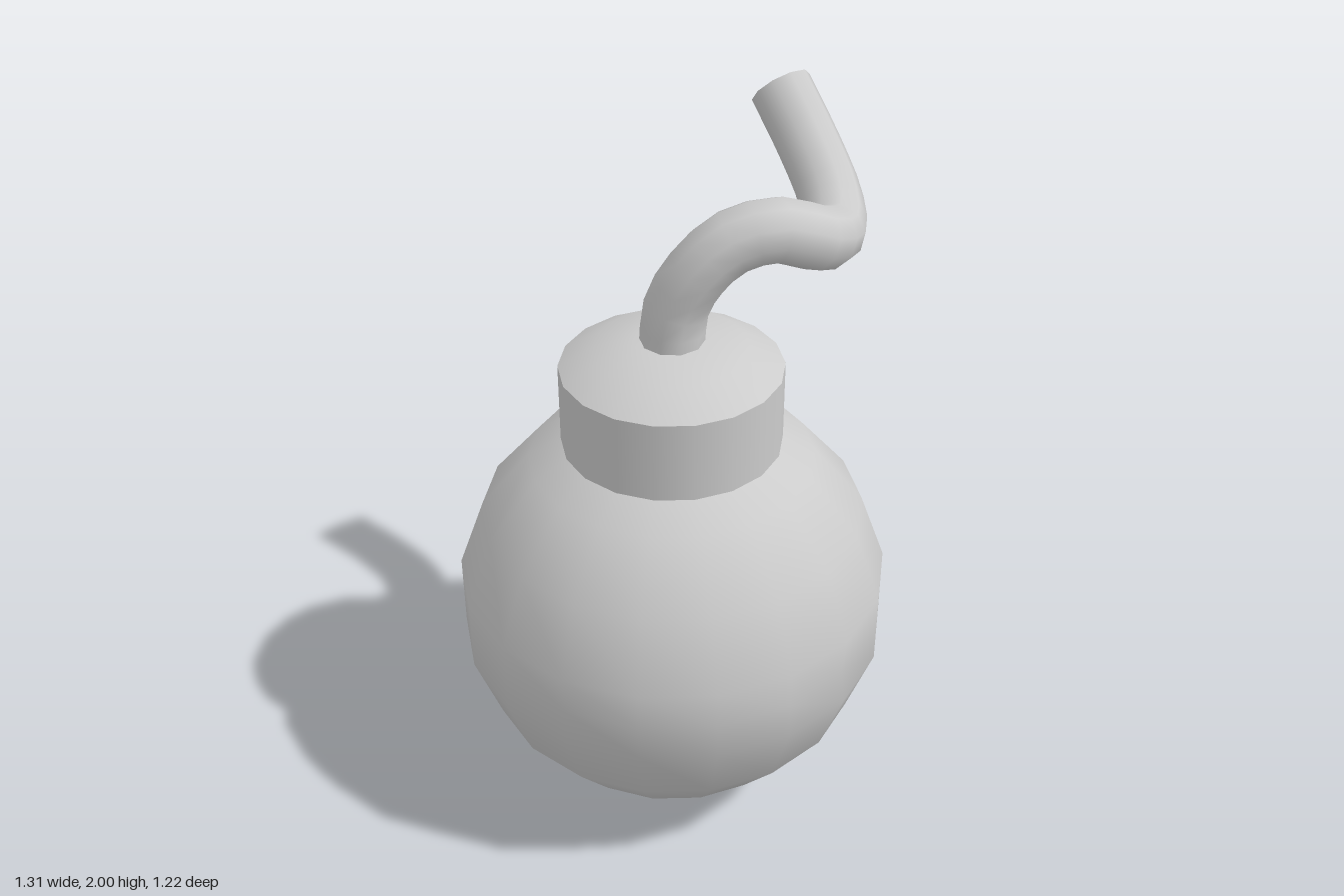
import * as THREE from 'three';
import { mergeVertices } from 'three/addons/utils/BufferGeometryUtils.js';

const SIDES = 18;
const AXIS_X = -0.053;

export function createModel() {
  const model = new THREE.Group();
  const material = new THREE.MeshStandardMaterial({ color: 0xcccccc });

  const add = (name, geometry, x = 0, y = 0, z = 0) => {
    const mesh = new THREE.Mesh(geometry, material);
    mesh.name = name;
    mesh.position.set(x, y, z);
    model.add(mesh);
    return mesh;
  };

  // Round body: rings every 20 degrees, a straight middle band,
  // and a shallow dent at the middle of the front and back
  const R = 0.62;
  const sphere = new THREE.SphereGeometry(R, SIDES, 10, Math.PI / 18);
  const pos = sphere.attributes.position;
  const band = R * Math.sin(THREE.MathUtils.degToRad(80));
  for (let i = 0; i < pos.count; i++) {
    const row = Math.floor(i / (SIDES + 1));
    const col = i % (SIDES + 1);
    const phi = THREE.MathUtils.degToRad(10 + col * 20);
    const theta = THREE.MathUtils.degToRad(row < 5 ? row * 20 : (row - 1) * 20);
    let r = R * Math.sin(theta);
    let y = R * Math.cos(theta);
    if (row === 5) {
      r = col === 4 || col === 13 ? band - 0.014 : band;
      y = 0;
    }
    pos.setXYZ(i, -r * Math.cos(phi), y, r * Math.sin(phi));
  }
  sphere.deleteAttribute('uv');
  sphere.deleteAttribute('normal');
  const body = mergeVertices(sphere, 1e-4);
  body.computeVertexNormals();
  add('body', body, AXIS_X, R, 0);

  // Neck collar, sunk into the body
  const neckR = 0.307;
  add('neck', new THREE.CylinderGeometry(neckR, neckR, 0.28, SIDES, 1, true), AXIS_X, 1.24, 0);

  // Shallow domed lid on the collar
  const lidProfile = [[neckR, 1.38], [0.21, 1.437], [0.1, 1.458], [0, 1.463]]
    .map(([x, y]) => new THREE.Vector2(x, y));
  add('neckLid', new THREE.LatheGeometry(lidProfile, SIDES), AXIS_X, 0, 0);

  // Curling fuse
  const path = new THREE.CatmullRomCurve3([
    [-0.053, 1.43, 0], [-0.043, 1.56, 0.01], [-0.01, 1.67, 0.06],
    [0.05, 1.745, 0.12], [0.135, 1.768, 0.195], [0.25, 1.715, 0.245],
    [0.37, 1.68, 0.22], [0.465, 1.72, 0.14], [0.53, 1.815, 0.02],
    [0.57, 1.938, -0.11],
  ].map((p) => new THREE.Vector3(...p)));
  const fuseR = 0.088;
  add('fuse', new THREE.TubeGeometry(path, 20, fuseR, 10));

  // Flat end of the fuse, facing along the path
  const end = path.getPointAt(1);
  const tip = add('fuseTip', new THREE.CircleGeometry(fuseR, 10), end.x, end.y, end.z);
  // Align the disc with the last cross-section of the tube
  const frames = path.computeFrenetFrames(20, false);
  const basis = new THREE.Matrix4().makeBasis(
    frames.normals[20].clone().negate(), frames.binormals[20].clone().negate(), frames.tangents[20]);
  tip.quaternion.setFromRotationMatrix(basis);

  return model;
}
